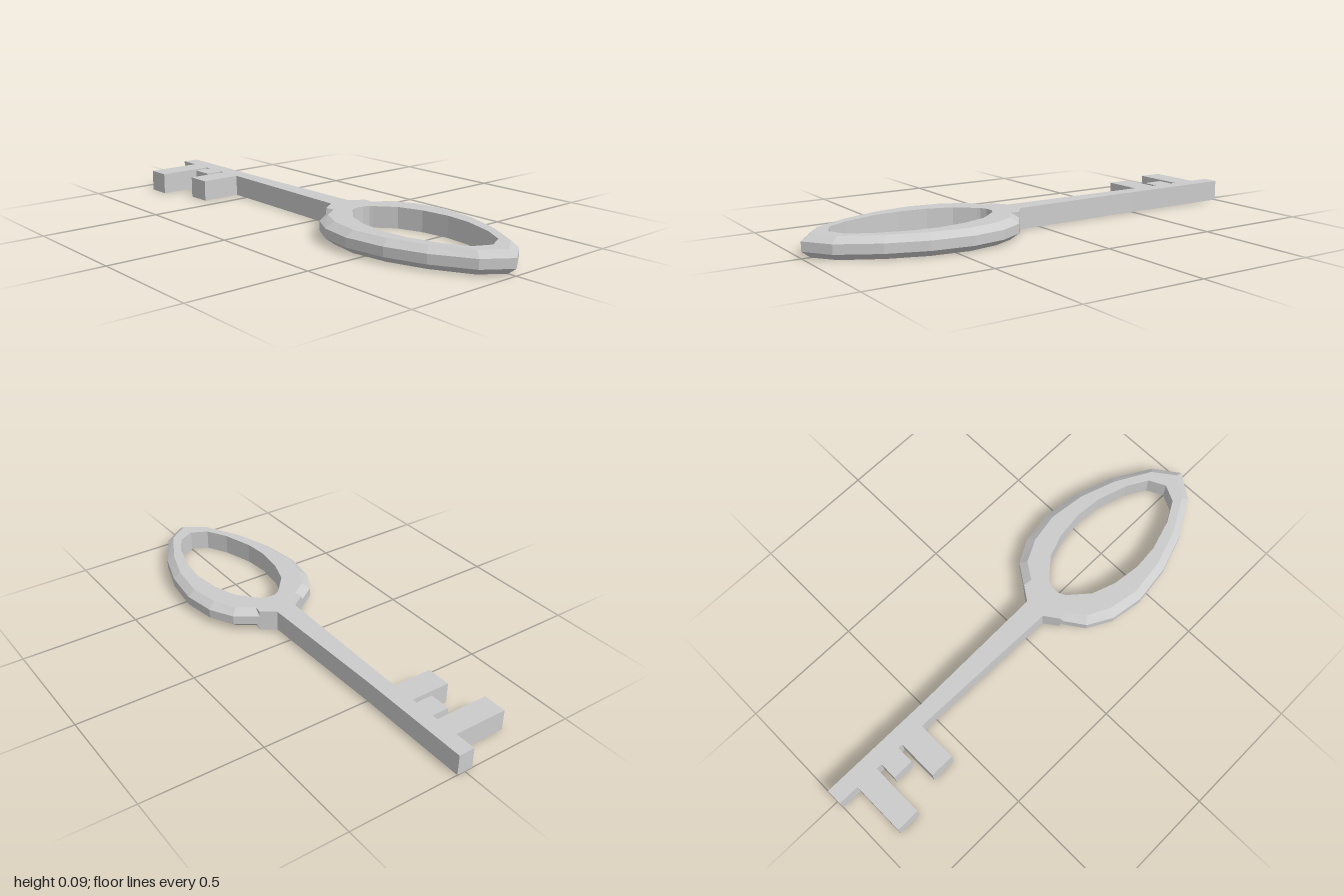
import * as THREE from 'three';

const H = 0.088;            // thickness of the key
const LOW = 0.026, HIGH = 0.064; // rim band between the two bevels

const material = new THREE.MeshStandardMaterial({ color: 0xcccccc, flatShading: true });

// Right half of a closed outline plus its mirror image
const mirrored = (half) => [
  ...half,
  ...half.slice(1, -1).reverse().map(([x, z]) => [-x, z]),
];

// Bevelled ring, lofted from matching six-point cross-sections
function makeBow() {
  const hole = mirrored([[0, 0.212], [0.02, 0.213], [0.045, 0.225], [0.055, 0.235], [0.12, 0.31],
    [0.155, 0.41], [0.17, 0.53], [0.16, 0.64], [0.12, 0.77], [0.07, 0.86], [0, 0.895]]);
  const rim = mirrored([[0, 0.095], [0.045, 0.095], [0.105, 0.137], [0.115, 0.145], [0.195, 0.2],
    [0.25, 0.3], [0.272, 0.44], [0.25, 0.61], [0.195, 0.77], [0.105, 0.925], [0, 1]]);
  const crest = mirrored([[0, 0.095], [0.045, 0.095], [0.105, 0.137], [0.1, 0.175], [0.17, 0.222],
    [0.217, 0.315], [0.24, 0.445], [0.221, 0.6], [0.17, 0.752], [0.089, 0.9], [0, 0.965]]);

  const n = hole.length;
  const positions = [], index = [];
  for (let i = 0; i < n; i++) {
    const section = [[hole, 0], [crest, 0], [rim, LOW], [rim, HIGH], [crest, H], [hole, H]];
    for (const [loop, y] of section) positions.push(loop[i][0], y, loop[i][1]);
    const next = (i + 1) % n;
    for (let j = 0; j < 6; j++) {
      const k = (j + 1) % 6;
      const a = i * 6 + j, b = i * 6 + k, c = next * 6 + k, d = next * 6 + j;
      index.push(a, b, c, a, c, d);
    }
  }
  const geometry = new THREE.BufferGeometry();
  geometry.setAttribute('position', new THREE.Float32BufferAttribute(positions, 3));
  geometry.setIndex(index);
  const flat = geometry.toNonIndexed();
  flat.computeVertexNormals();
  return flat;
}

// Tapered shank with the bit cut into one outline
function makeShank() {
  const w = 0.034;
  const teeth = [[-0.91, -0.81, 0.265], [-0.785, -0.695, 0.108], [-0.675, -0.57, 0.205]];
  const outline = [[0.045, 0.095], [w, -0.5], [w, -1], [-w, -1]];
  for (const [back, front, reach] of teeth) {
    outline.push([-w, back], [-reach, back], [-reach, front], [-w, front]);
  }
  outline.push([-w, -0.5], [-0.045, 0.095]);
  const shape = new THREE.Shape(outline.map(([x, z]) => new THREE.Vector2(x, -z)));
  const geometry = new THREE.ExtrudeGeometry(shape, { depth: H, bevelEnabled: false });
  return geometry.rotateX(-Math.PI / 2);
}

export function createModel() {
  const key = new THREE.Group();
  key.name = 'key';
  const parts = { bow: makeBow(), shankAndBit: makeShank() };
  for (const [name, geometry] of Object.entries(parts)) {
    const mesh = new THREE.Mesh(geometry, material);
    mesh.name = name;
    key.add(mesh);
  }
  return key;
}
